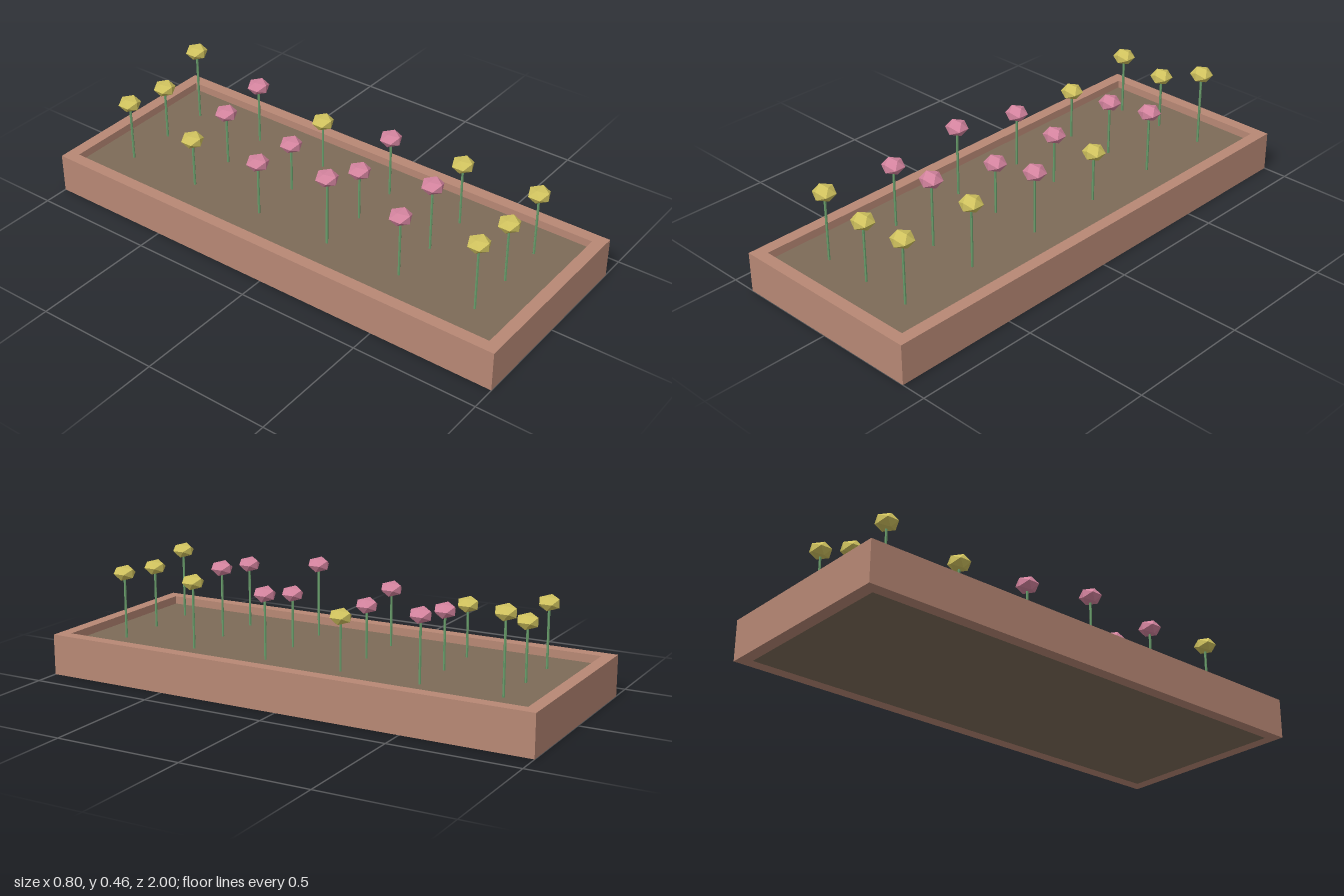
import * as THREE from 'three';

const mat = (name, color) => Object.assign(new THREE.MeshStandardMaterial({ color, flatShading: true }), { name });

export function createModel() {
  const clay = mat('clay', 0xb88875);
  const soilMat = mat('soil', 0x7d6b58);
  const green = mat('stem green', 0x689c6a);
  const yellow = mat('yellow bloom', 0xd2c45f);
  const pink = mat('pink bloom', 0xd685a0);

  const model = new THREE.Group();
  model.name = 'flowerPlanter';
  const add = (parent, geometry, material, name, x, y, z) => {
    const mesh = new THREE.Mesh(geometry, material);
    mesh.name = name;
    mesh.position.set(x, y, z);
    parent.add(mesh);
  };

  // Planter: a rectangular frame with a raised rim around the soil
  const W = 0.8, L = 2, H = 0.16, WALL = 0.048, SOIL = 0.128;
  const innerW = W - 2 * WALL, innerL = L - 2 * WALL;
  const rect = (Type, w, l) => new Type([[-w, -l], [w, -l], [w, l], [-w, l]]
    .map(([x, y]) => new THREE.Vector2(x / 2, y / 2)));
  const frameShape = rect(THREE.Shape, W, L);
  frameShape.holes.push(rect(THREE.Path, innerW, innerL));
  const frame = new THREE.ExtrudeGeometry(frameShape, { depth: H, bevelEnabled: false });
  frame.rotateX(-Math.PI / 2);
  add(model, frame, clay, 'planterFrame', 0, 0, 0);
  add(model, new THREE.BoxGeometry(innerW, SOIL, innerL), soilMat, 'soil', 0, SOIL / 2, 0);

  // Flower rows from back to front: bloom colour and bloom height, from right to left
  const rows = [
    [[yellow, 0.377], [yellow, 0.353], [yellow, 0.43]],
    [[yellow, 0.332], [pink, 0.353], [pink, 0.38]],
    [[pink, 0.354], [pink, 0.332], [yellow, 0.334]],
    [[pink, 0.414], [pink, 0.339], [pink, 0.379]],
    [[pink, 0.381], [pink, 0.403], [yellow, 0.388]],
    [[yellow, 0.405], [yellow, 0.373], [yellow, 0.388]],
  ];
  const bloom = new THREE.IcosahedronGeometry(0.0455, 0);
  bloom.scale(1, 0.7, 1);

  rows.forEach((row, r) => row.forEach(([color, height], c) => {
    const flower = new THREE.Group();
    flower.name = 'flower';
    flower.position.set(-0.2 + 0.2 * c, SOIL, -0.8 + 0.32 * r);
    const stemH = height - SOIL;
    add(flower, new THREE.CylinderGeometry(0.005, 0.005, stemH, 6), green, 'stem', 0, stemH / 2, 0);
    add(flower, bloom, color, 'bloom', 0, stemH, 0);
    model.add(flower);
  }));

  return model;
}
